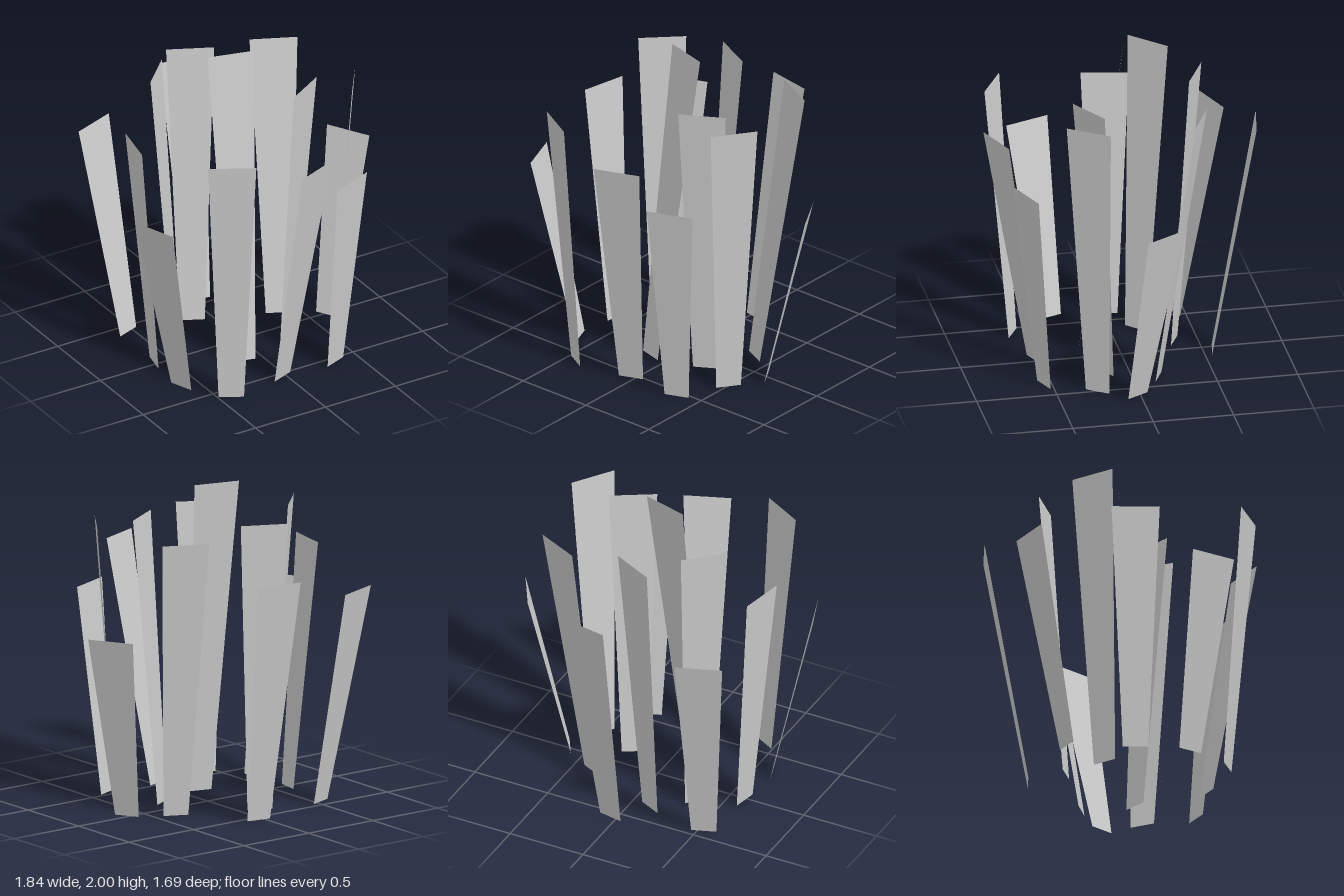
import * as THREE from 'three';

const BASE_WIDTH = 0.156;
const TIP_WIDTH = 0.295;

// Each blade: base centre x, z, outward heading in degrees (0 = front, 90 = +x), lean, height
const BLADES = [
  [0.04, -0.557, 170, 0.27, 1.54],
  [-0.537, -0.432, -160, 0.27, 1.37],
  [-0.127, -0.355, 154, 0.133, 1.825],
  [-0.352, -0.16, -135, 0.133, 1.885],
  [-0.605, -0.018, -101, 0.133, 1.557],
  [-0.125, 0.24, 165, 0.267, 2],
  [0.37, -0.158, 155, 0.27, 1.77],
  [0.612, 0.018, 120, 0.267, 1.16],
  [0.238, 0.148, 30.5, 0.133, 1.797],
  [0.505, 0.248, 55, 0.133, 1.8],
  [0.345, 0.55, 21, 0.13, 1.308],
  [-0.028, 0.54, 21, 0.27, 1.54],
  [-0.425, 0.592, -29, 0.133, 1.672],
  [-0.617, 0.32, -69.5, 0.27, 1.215],
];

// A flat sheet that widens and leans outward (+z) toward its tip
function bladeGeometry(lean, height) {
  const geometry = new THREE.PlaneGeometry(1, 1);
  const p = geometry.attributes.position;
  for (let i = 0; i < p.count; i++) {
    const t = p.getY(i) + 0.5;
    const width = THREE.MathUtils.lerp(BASE_WIDTH, TIP_WIDTH, t);
    p.setXYZ(i, p.getX(i) * width, t * height, t * lean);
  }
  geometry.computeVertexNormals();
  return geometry;
}

export function createModel() {
  const model = new THREE.Group();
  model.name = 'grassTuft';
  const material = new THREE.MeshStandardMaterial({
    color: 0xcccccc,
    flatShading: true,
    side: THREE.DoubleSide,
  });

  BLADES.forEach(([x, z, heading, lean, height], i) => {
    const blade = new THREE.Mesh(bladeGeometry(lean, height), material);
    blade.name = `blade${i + 1}`;
    blade.position.set(x, 0, z);
    blade.rotation.y = THREE.MathUtils.degToRad(heading);
    model.add(blade);
  });
  return model;
}
